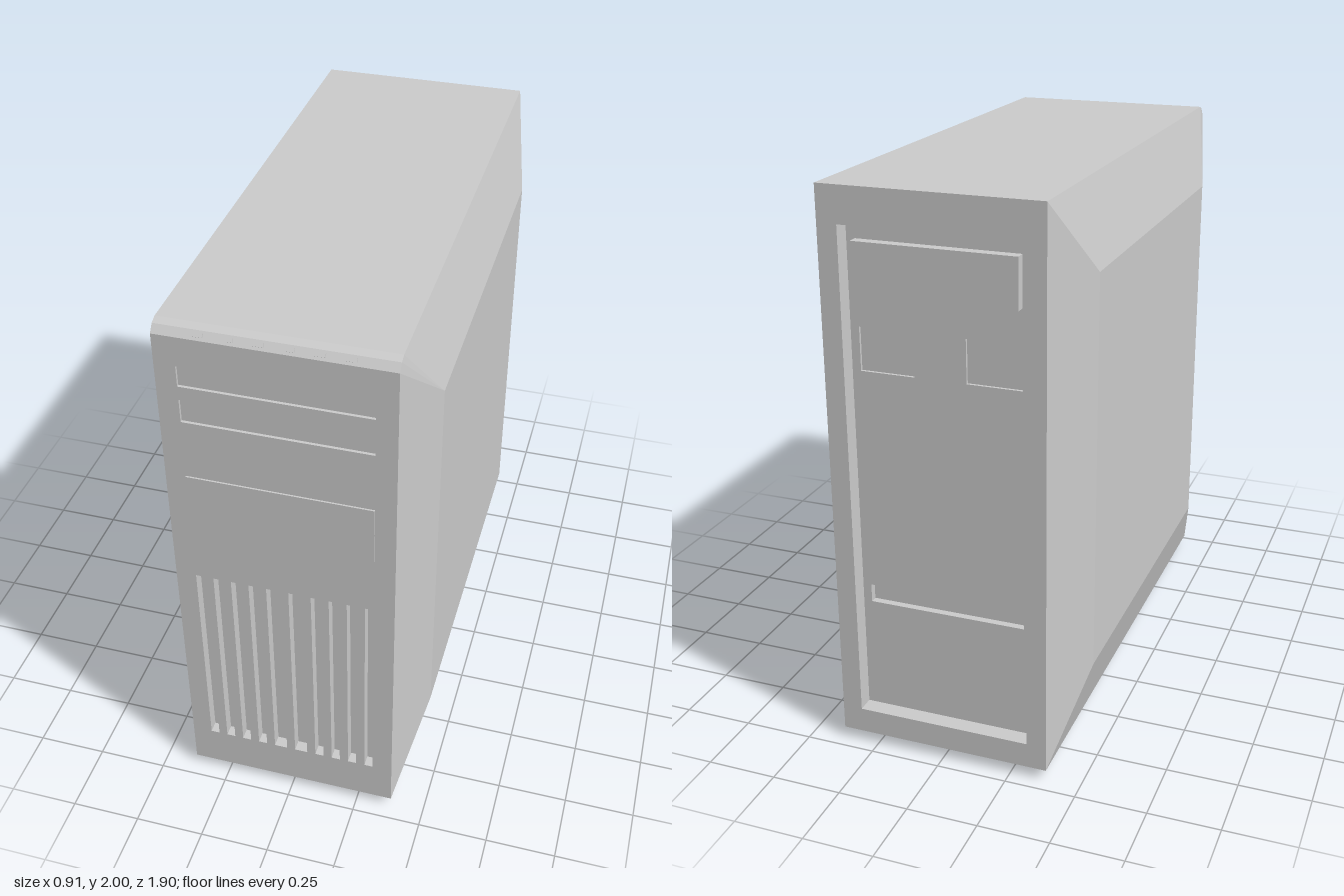
import * as THREE from 'three';

const HALF = 0.38;      // half width of the case between the side panels
const BOTTOM = 0.04, TOP = 2, BACK = -0.95, FRONT = 0.945;
const material = new THREE.MeshStandardMaterial({ color: 0xcccccc, flatShading: true });

function add(parent, name, geometry, x = 0, y = 0, z = 0) {
  const mesh = new THREE.Mesh(geometry, material);
  mesh.name = name;
  mesh.position.set(x, y, z);
  parent.add(mesh);
  return mesh;
}

// Box given by its limits
function block(parent, name, x0, x1, y0, y1, z0, z1) {
  return add(parent, name, new THREE.BoxGeometry(x1 - x0, y1 - y0, z1 - z0),
    (x0 + x1) / 2, (y0 + y1) / 2, (z0 + z1) / 2);
}

const corners = ([x0, x1, y0, y1]) =>
  [[x0, y0], [x1, y0], [x1, y1], [x0, y1]].map(p => new THREE.Vector2(...p));

// Upright plate with rectangular holes, each rectangle as [x0, x1, y0, y1]
function plate(parent, name, outline, holes, z0, z1) {
  const shape = new THREE.Shape(corners(outline));
  for (const h of holes) shape.holes.push(new THREE.Path(corners(h).reverse()));
  return add(parent, name, new THREE.ExtrudeGeometry(shape, { depth: z1 - z0, bevelEnabled: false }), 0, 0, z0);
}

// Side panel: the case outline (z, y) rising to a smaller raised rectangle
function sidePanelGeometry(side) {
  const rim = [[BACK, BOTTOM], [FRONT, BOTTOM], [FRONT, 1.965], [0.925, 1.99], [0.9, TOP], [BACK, TOP]];
  const outer = rim.map(([z, y]) => [side * HALF, y, z]);
  const inner = rim.map(([z, y]) => [side * 0.457,
    THREE.MathUtils.clamp(y, 0.315, 1.725), THREE.MathUtils.clamp(z, -0.675, 0.67)]);
  const positions = [];
  const tri = (a, b, c) => positions.push(...(side > 0 ? [a, c, b] : [a, b, c]).flat());
  rim.forEach((_, i) => {
    const j = (i + 1) % rim.length;
    tri(outer[i], outer[j], inner[j]);
    if (i < 2 || i > 3) tri(outer[i], inner[j], inner[i]);
  });
  tri(inner[0], inner[1], inner[2]);
  tri(inner[0], inner[2], inner[5]);
  const geometry = new THREE.BufferGeometry();
  geometry.setAttribute('position', new THREE.Float32BufferAttribute(positions, 3));
  geometry.computeVertexNormals();
  return geometry;
}

// Foot: a small block narrowing towards the ground
function footGeometry(width, depth) {
  const geometry = new THREE.BoxGeometry(width, BOTTOM, depth);
  const p = geometry.attributes.position;
  for (let i = 0; i < p.count; i++) {
    if (p.getY(i) < 0) p.setXYZ(i, p.getX(i) * 0.65, p.getY(i), p.getZ(i) * 0.65);
  }
  geometry.computeVertexNormals();
  return geometry;
}

export function createModel() {
  const model = new THREE.Group();
  model.name = 'computerTower';

  // Core with the rounded top front edge
  const profile = new THREE.Shape([
    [-0.865, BOTTOM], [0.905, BOTTOM], [0.905, 1.965], [FRONT, 1.965],
    [0.925, 1.99], [0.9, TOP], [-0.865, TOP],
  ].map(p => new THREE.Vector2(...p)));
  const core = new THREE.ExtrudeGeometry(profile, { depth: 2 * HALF, bevelEnabled: false });
  core.rotateY(-Math.PI / 2);
  add(model, 'caseCore', core, HALF);

  for (const side of [1, -1]) {
    add(model, side > 0 ? 'leftSidePanel' : 'rightSidePanel', sidePanelGeometry(side));
  }

  // Front panel with two shallow drive bays and the grille opening
  const bays = [[-0.31, 0.31, 1.785, 1.86], [-0.31, 0.31, 1.65, 1.735]];
  const grilleOpening = [-0.31, 0.31, 0.2, 1.0];
  plate(model, 'frontPanel', [-HALF, HALF, BOTTOM, 1.965], [...bays, grilleOpening], 0.905, FRONT);
  for (const bay of bays) block(model, 'driveBay', ...bay, 0.905, 0.935);
  block(model, 'frontCover', -0.31, 0.31, 1.22, 1.435, FRONT, 0.951);

  // Grille bars, mirrored about the middle one
  const grille = new THREE.Group();
  grille.name = 'grille';
  model.add(grille);
  const bar = x => block(grille, 'grilleBar', x - 0.0155, x + 0.0155, 0.2, 1.0, 0.905, FRONT);
  bar(0);
  for (let i = 0; i < 4; i++) {
    for (const side of [1, -1]) bar(side * (0.2635 - 0.062 * i));
  }

  // Row of buttons on the sloping top edge
  for (let i = 0; i < 6; i++) {
    const button = add(model, 'button', new THREE.BoxGeometry(0.034, 0.014, 0.008),
      (i - 2.5) * 0.094, 1.979, 0.935);
    button.rotation.x = -0.67;
  }

  // Back frame around a sunken panel with two sockets and a long slot
  plate(model, 'backFrame', [-HALF, HALF, BOTTOM, TOP], [[-0.31, 0.31, 0.13, 1.875]], BACK, -0.89);
  const sockets = [[0.09, 0.28, 1.38, 1.53], [-0.28, -0.09, 1.38, 1.53]];
  plate(model, 'backPanel', [-HALF, HALF, BOTTOM, TOP],
    [...sockets, [-0.28, 0.28, 0.535, 0.6]], -0.89, -0.865);
  for (const socket of sockets) block(model, 'socket', ...socket, -0.88, -0.865);
  block(model, 'powerSupply', -0.28, 0.28, 1.65, 1.82, -0.925, -0.89);

  // Feet
  for (const side of [1, -1]) {
    add(model, 'frontFoot', footGeometry(0.06, 0.06), side * 0.28, BOTTOM / 2, 0.87);
    add(model, 'backFoot', footGeometry(0.06, 0.09), side * 0.28, BOTTOM / 2, -0.8);
  }
  return model;
}
